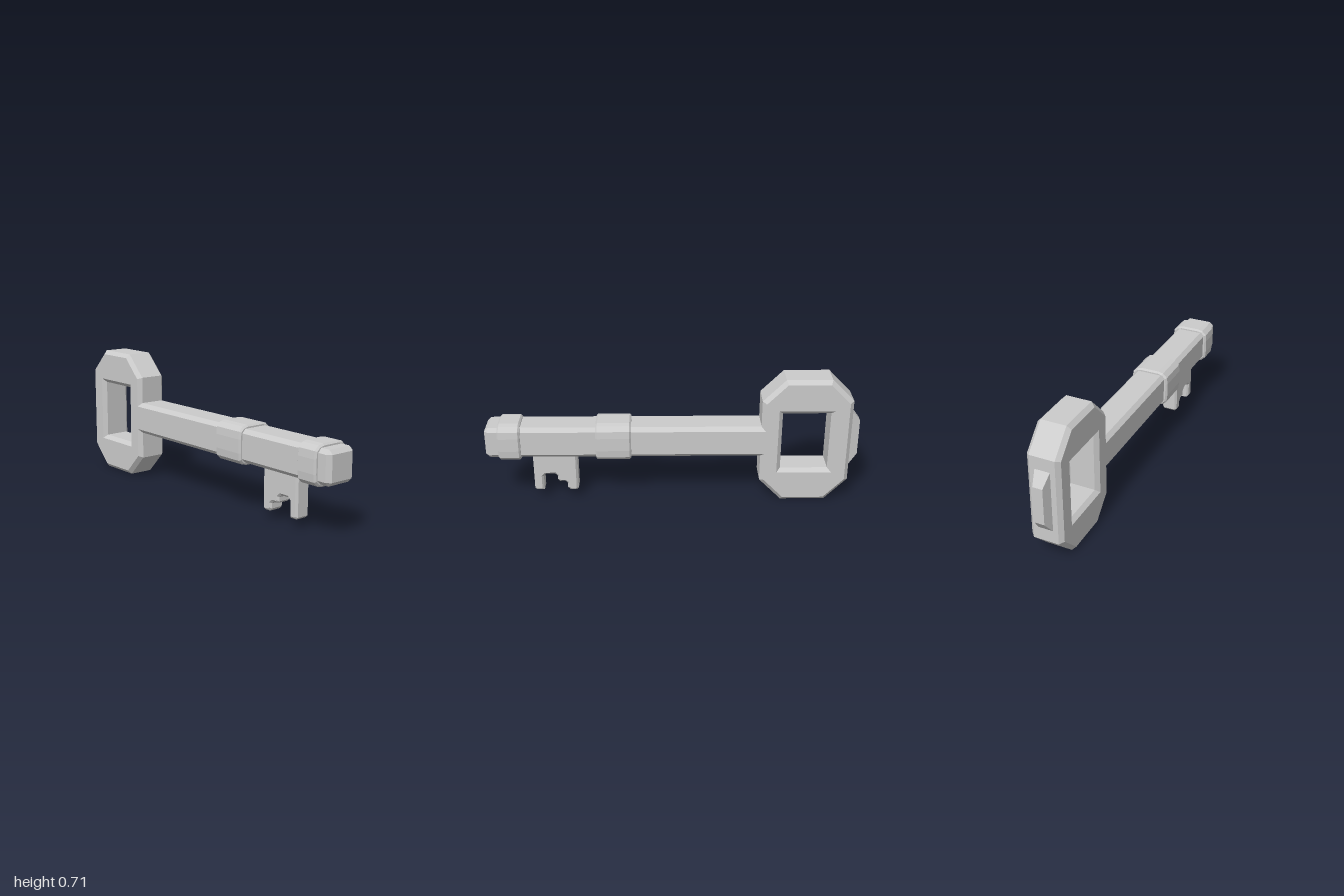
import * as THREE from 'three';
import { ConvexGeometry } from 'three/addons/geometries/ConvexGeometry.js';

const AXIS_Y = 0.357; // height of the shaft's centre line

export function createModel() {
  const key = new THREE.Group();
  key.name = 'key';
  const material = new THREE.MeshStandardMaterial({ color: 0xcccccc, flatShading: true });

  const add = (name, geometry) => {
    const mesh = new THREE.Mesh(geometry, material);
    mesh.name = name;
    key.add(mesh);
    return mesh;
  };
  const toPoints = (list) => list.map(([a, b]) => new THREE.Vector2(a, b));

  // Extrudes an outline to the given total depth with chamfered edges, centred on z = 0
  const chamferedExtrude = (outline, depth, bevel, hole) => {
    const shape = new THREE.Shape(toPoints(outline));
    if (hole) shape.holes.push(new THREE.Path(toPoints(hole)));
    const geometry = new THREE.ExtrudeGeometry(shape, {
      depth: depth - 2 * bevel, bevelEnabled: true, bevelThickness: bevel,
      bevelSize: bevel, bevelOffset: -bevel, bevelSegments: 1, curveSegments: 1,
    });
    return geometry.translate(0, 0, -depth / 2 + bevel);
  };

  // Box with every edge and corner cut by c
  const chamferedBox = (w, h, d, c) => {
    const points = [];
    for (const x of [-1, 1]) for (const y of [-1, 1]) for (const z of [-1, 1]) {
      for (let full = 0; full < 3; full++) {
        const cut = [c, c, c];
        cut[full] = 0;
        points.push(new THREE.Vector3(x * (w / 2 - cut[0]), y * (h / 2 - cut[1]), z * (d / 2 - cut[2])));
      }
    }
    return new ConvexGeometry(points);
  };

  // Shaft, running from the tip into the bow
  add('shaft', chamferedBox(0.176, 0.174, 1.52, 0.021)).position.set(0, AXIS_Y, 0.24);

  // Bow: octagonal frame with a rectangular opening, drawn in the (z, y) plane
  const bowOutline = [
    [-0.59, 0], [-0.47, 0.122], [-0.47, 0.59], [-0.59, 0.711],
    [-0.83, 0.711], [-0.95, 0.59], [-0.95, 0.122], [-0.83, 0],
  ];
  const bowHole = [[-0.58, 0.195], [-0.835, 0.195], [-0.835, 0.52], [-0.58, 0.52]];
  add('bow', chamferedExtrude(bowOutline, 0.176, 0.021, bowHole).rotateY(-Math.PI / 2));

  // Tapered boss on the back of the bow
  const boss = [];
  for (const [z, halfWidth, halfHeight] of [[-0.94, 0.043, 0.178], [-1, 0.026, 0.1]]) {
    for (const sx of [-1, 1]) for (const sy of [-1, 1]) {
      boss.push(new THREE.Vector3(sx * halfWidth, AXIS_Y + sy * halfHeight, z));
    }
  }
  add('bowBoss', new ConvexGeometry(boss));

  // Collars: slightly bulging sleeves around the shaft
  const quarter = [[0.106, 0.036], [0.102, 0.075], [0.078, 0.098], [0.05, 0.104]];
  const flip = (sx, sy) => quarter.map(([x, y]) => [x * sx, y * sy]);
  const collarOutline = [
    ...flip(1, 1), ...flip(-1, 1).reverse(), ...flip(-1, -1), ...flip(1, -1).reverse(),
  ];
  for (const [name, back, front] of [['tipCollar', 0.81, 0.93], ['middleCollar', 0.222, 0.411]]) {
    add(name, chamferedExtrude(collarOutline, front - back, 0.009))
      .position.set(0, AXIS_Y, (back + front) / 2);
  }

  // Bit: notched plate hanging below the shaft, drawn in the (z, y) plane
  const bitOutline = [
    [0.757, 0.31], [0.757, 0.058], [0.747, 0.047], [0.705, 0.047], [0.705, 0.132], [0.691, 0.146],
    [0.642, 0.146], [0.629, 0.133], [0.629, 0.111], [0.618, 0.1], [0.588, 0.1], [0.577, 0.089],
    [0.577, 0.062], [0.562, 0.047], [0.527, 0.047], [0.517, 0.058], [0.517, 0.31],
  ];
  add('bit', chamferedExtrude(bitOutline, 0.088, 0.011).rotateY(-Math.PI / 2));

  return key;
}
